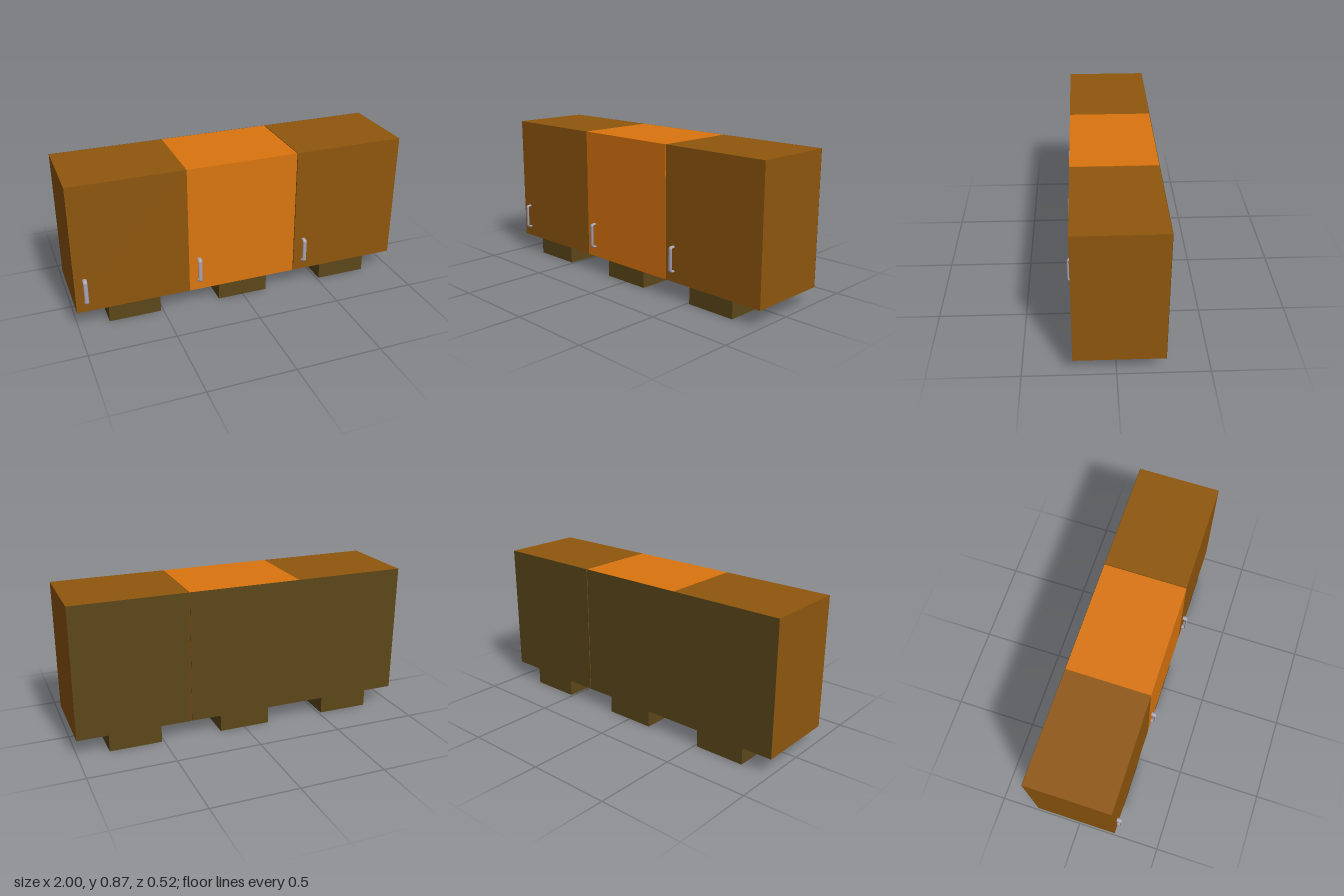
import * as THREE from 'three';

const paint = (color) => new THREE.MeshStandardMaterial({ color });

// Box given by its min and max corners
function box(name, min, max, material) {
  const size = max.map((v, i) => v - min[i]);
  const mesh = new THREE.Mesh(new THREE.BoxGeometry(...size), material);
  mesh.position.set(...max.map((v, i) => (v + min[i]) / 2));
  mesh.name = name;
  return mesh;
}

// Bow handle: a rounded bracket, flattened front to back
function handle(x, material) {
  const radius = 0.0065, front = 0.255, root = 0.225, low = 0.163, high = 0.307, bend = 0.014;
  const v = (y, z) => new THREE.Vector3(0, y, z);
  const path = new THREE.CurvePath();
  path.add(new THREE.LineCurve3(v(low, root), v(low + 0.001, front - bend)));
  path.add(new THREE.QuadraticBezierCurve3(v(low + 0.001, front - bend), v(low + 0.002, front), v(low + bend, front)));
  path.add(new THREE.LineCurve3(v(low + bend, front), v(high - bend, front)));
  path.add(new THREE.QuadraticBezierCurve3(v(high - bend, front), v(high - 0.002, front), v(high - 0.001, front - bend)));
  path.add(new THREE.LineCurve3(v(high - 0.001, front - bend), v(high, root)));
  const mesh = new THREE.Mesh(new THREE.TubeGeometry(path, 60, radius, 12), material);
  mesh.scale.x = 1.9;
  mesh.position.x = x;
  mesh.name = 'handle';
  return mesh;
}

export function createModel() {
  const model = new THREE.Group();
  model.name = 'cabinetRow';
  const brown = paint(0x8f570d), orange = paint(0xdb750f);
  const olive = paint(0x5c4719), metal = paint(0xa9a3b5);

  const bottom = 0.1, top = 0.874, front = 0.23, back = -0.26;
  const units = [
    { name: 'leftmostCabinet', x0: -1, x1: -0.335, material: brown },
    { name: 'middleCabinet', x0: -0.335, x1: 0.328, material: orange },
    { name: 'rightmostCabinet', x0: 0.332, x1: 1, material: brown },
  ];

  units.forEach(({ name, x0, x1, material }, i) => {
    const unit = new THREE.Group();
    unit.name = name;
    // Carcass with a thin back panel
    unit.add(box('carcass', [x0, bottom, back + 0.002], [x1, top, front], material));
    unit.add(box('backPanel', [x0, bottom, back], [x1, top, back + 0.002], olive));
    // Plinth underneath
    const c = (i - 1) * 0.667;
    unit.add(box('plinth', [c - 0.153, 0, back], [c + 0.152, bottom, front - 0.003], olive));
    // Handle near the lower corner of the door
    unit.add(handle(-0.942 + i * 0.667, metal));
    model.add(unit);
  });
  return model;
}
